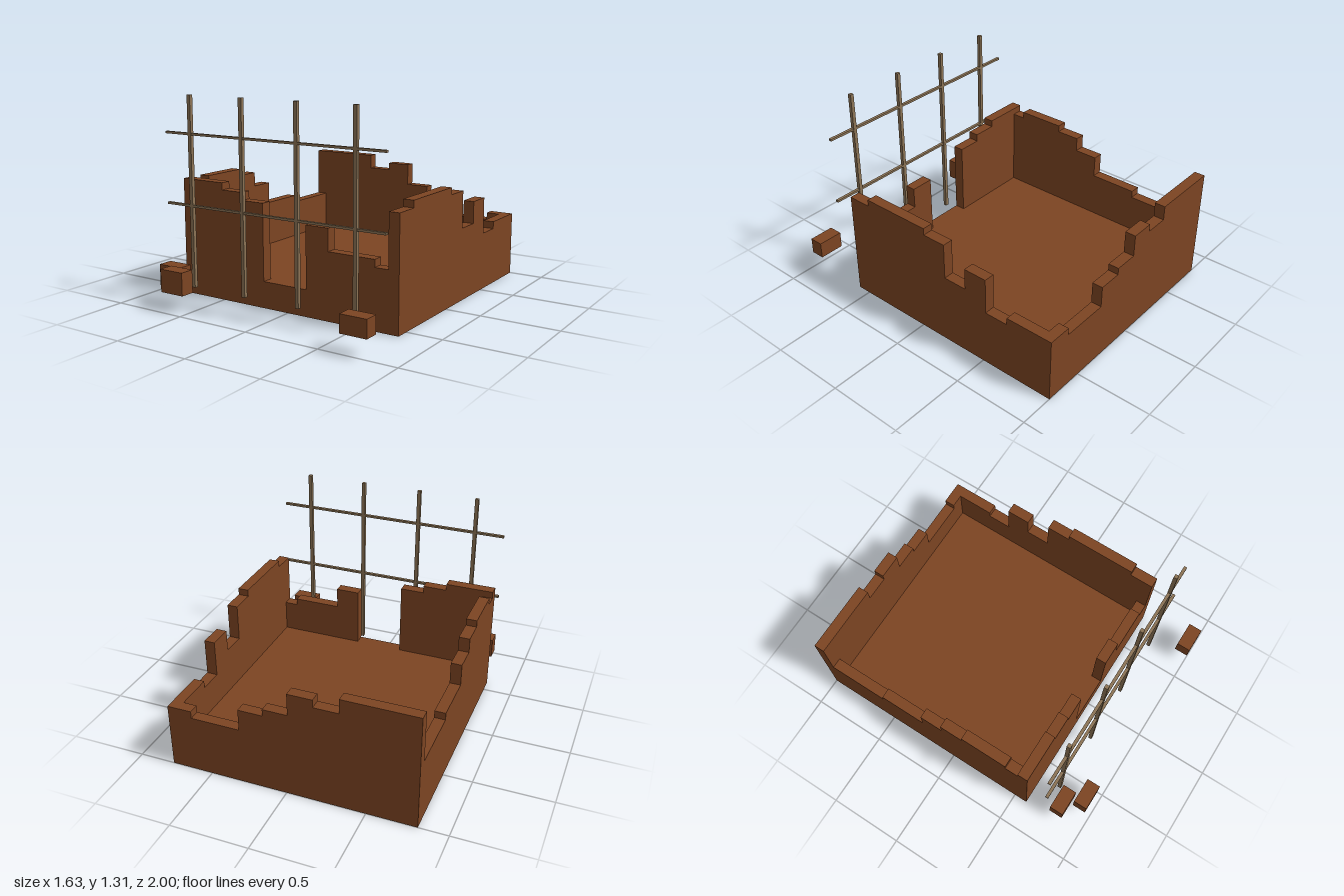
import * as THREE from 'three';

const X0 = -0.815, Z0 = -1, WIDTH = 1.585, DEPTH = 1.59;
const STEP = WIDTH / 10, THICK = 0.07, FLOOR = 0.17;

export function createModel() {
  const group = new THREE.Group();
  const brick = new THREE.MeshStandardMaterial({ color: 0x7c4422 });
  brick.name = 'brick brown';
  const wood = new THREE.MeshStandardMaterial({ color: 0x8b7355 });
  wood.name = 'scaffold tan';

  function add(name, geometry, material) {
    const mesh = new THREE.Mesh(geometry, material);
    mesh.name = name;
    group.add(mesh);
    return mesh;
  }

  // Box given by its minimum and maximum corners
  function box(name, min, max, material) {
    const size = max.map((v, i) => v - min[i]);
    const mesh = add(name, new THREE.BoxGeometry(...size), material);
    mesh.position.set(...max.map((v, i) => (v + min[i]) / 2));
    return mesh;
  }

  // Ruined wall: a stepped outline with one height per column, extruded to the wall thickness
  function wallGeometry(heights) {
    const shape = new THREE.Shape();
    shape.moveTo(0, FLOOR);
    heights.forEach((h, i) => {
      if (h !== heights[i - 1]) shape.lineTo(i * STEP, h);
      if (h !== heights[i + 1]) shape.lineTo((i + 1) * STEP, h);
    });
    shape.lineTo(heights.length * STEP, FLOOR);
    shape.closePath();
    return new THREE.ExtrudeGeometry(shape, { depth: THICK, bevelEnabled: false });
  }

  // Wall running along x, starting at a given column
  function wallAlongX(name, heights, column, z) {
    add(name, wallGeometry(heights), brick).position.set(X0 + column * STEP, 0, z);
  }

  // Wall running along z from back to front, its outer or inner face ending at x
  function wallAlongZ(name, heights, x) {
    const geometry = wallGeometry(heights).rotateY(-Math.PI / 2);
    geometry.scale(1, 1, DEPTH / WIDTH);
    add(name, geometry, brick).position.set(x, 0, Z0);
  }

  // Solid base with the floor on top
  box('base', [X0, 0, Z0], [X0 + WIDTH, FLOOR, Z0 + DEPTH], brick);

  // Broken walls, with a doorway gap in the front
  const frontZ = Z0 + DEPTH - THICK;
  wallAlongX('frontWallRight', [0.755, 0.755, 0.71, 0.66], 0, frontZ);
  wallAlongX('frontWallLeft', [0.565, 0.425, 0.425, 0.378], 6, frontZ);
  wallAlongX('backWall',
    [0.755, 0.755, 0.755, 0.66, 0.71, 0.565, 0.52, 0.378, 0.378, 0.425], 0, Z0);
  wallAlongZ('leftWall',
    [0.425, 0.425, 0.378, 0.615, 0.472, 0.71, 0.755, 0.755, 0.755, 0.71], X0 + WIDTH);
  wallAlongZ('rightWall',
    [0.425, 0.425, 0.425, 0.472, 0.472, 0.615, 0.71, 0.755, 0.755, 0.71], X0 + THICK);

  // Scaffold poles and rails
  for (const x of [-0.617, -0.22, 0.177, 0.574]) {
    box('scaffoldPole', [x - 0.012, 0.1, 0.719], [x + 0.012, 1.305, 0.743], wood);
  }
  for (const y of [0.62, 1.066]) {
    box('scaffoldRail', [X0, y - 0.007, 0.721], [X0 + WIDTH, y + 0.007, 0.741], wood);
  }

  // Loose bricks
  box('looseBrick', [-0.795, 0.115, 0.758], [-0.625, 0.249, 0.852], brick);
  box('looseBrick', [-0.682, 0.115, 0.87], [-0.51, 0.26, 0.963], brick);
  box('looseBrick', [0.64, 0.115, 0.906], [0.812, 0.225, 1.0], brick);

  return group;
}
